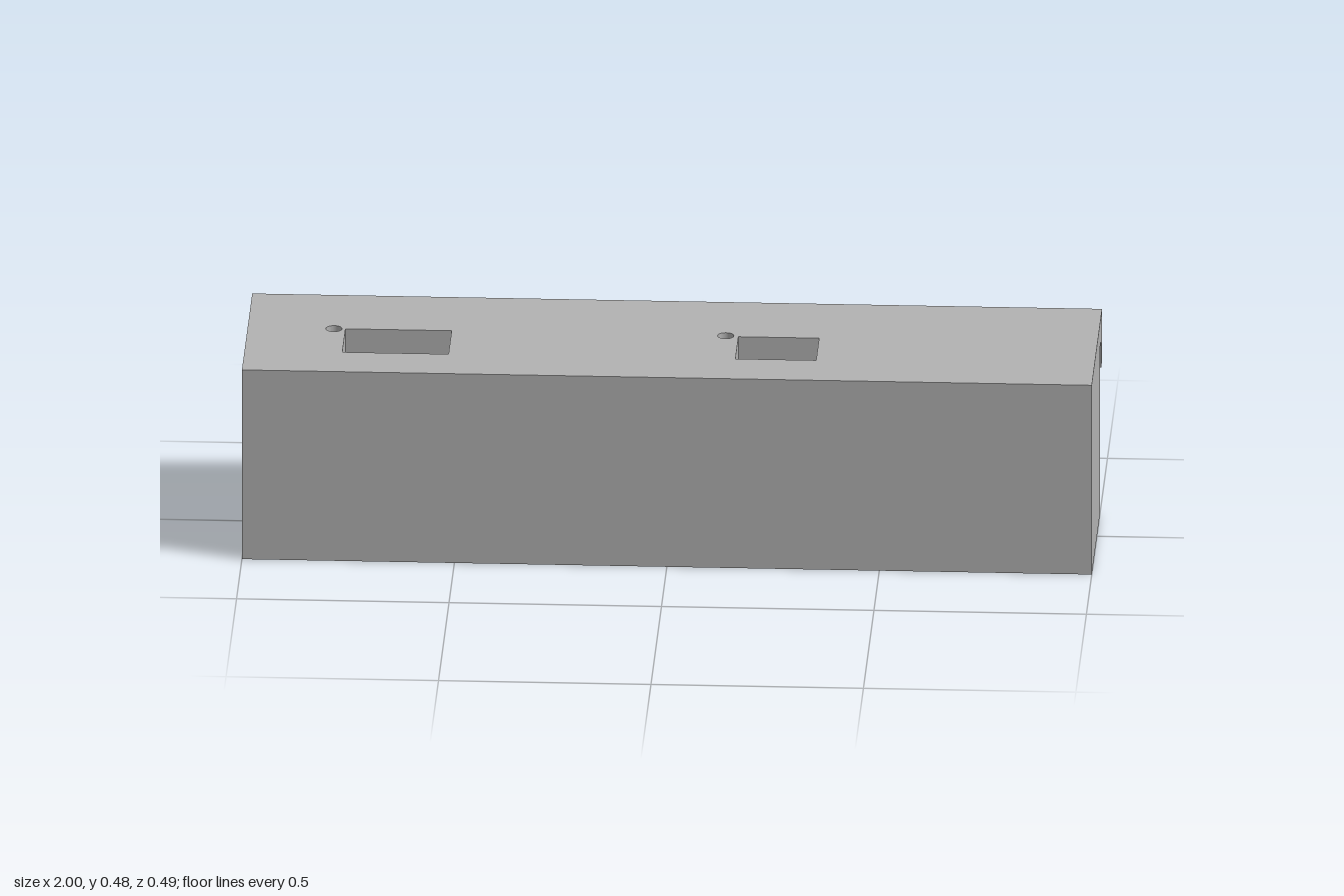
import * as THREE from 'three';

const TOP = 0.478, PLATE = 0.06, DIMPLE = 0.03;
const FRONT = 0.245, BACK = -0.245, END_BACK = -0.135;
const WALL = 0.047;

// Closed rectangle in the x/z plane
function rect(Type, x0, x1, z0, z1) {
  const r = new Type();
  r.moveTo(x0, z0);
  r.lineTo(x1, z0);
  r.lineTo(x1, z1);
  r.lineTo(x0, z1);
  r.closePath();
  return r;
}

export function createModel() {
  const group = new THREE.Group();
  const grey = new THREE.MeshStandardMaterial({ color: 0xb2b2b2 });
  grey.name = 'plain grey';

  const add = (name, geometry) => {
    const mesh = new THREE.Mesh(geometry, grey);
    mesh.name = name;
    group.add(mesh);
    return mesh;
  };
  // Box given by its limits on each axis
  const box = (name, x0, x1, y0, y1, z0, z1) =>
    add(name, new THREE.BoxGeometry(x1 - x0, y1 - y0, z1 - z0))
      .position.set((x0 + x1) / 2, (y0 + y1) / 2, (z0 + z1) / 2);

  // Top plate in two layers: windows go through both, round dimples only the upper
  const layer = (name, yTop, depth, dimples) => {
    const shape = rect(THREE.Shape, -1, 1, BACK, FRONT);
    shape.holes.push(rect(THREE.Path, -0.77, -0.52, -0.03, 0.12));
    shape.holes.push(rect(THREE.Path, 0.155, 0.345, -0.025, 0.117));
    for (const x of dimples) {
      const hole = new THREE.Path();
      hole.absarc(x, -0.03, 0.019, 0, Math.PI * 2, true);
      shape.holes.push(hole);
    }
    const geometry = new THREE.ExtrudeGeometry(shape, { depth, bevelEnabled: false, curveSegments: 24 });
    geometry.rotateX(Math.PI / 2);
    add(name, geometry).position.y = yTop;
  };
  layer('topPlateUpper', TOP, DIMPLE, [-0.797, 0.125]);
  layer('topPlateLower', TOP - DIMPLE, PLATE - DIMPLE, []);

  // Walls and hooked back lip under the plate
  const under = TOP - PLATE;
  box('frontWall', -1, 1, 0, under, FRONT - WALL, FRONT);
  box('leftEndWall', 1 - WALL, 1, 0, under, END_BACK, FRONT - WALL);
  box('rightEndWall', -1, -1 + WALL, 0, under, END_BACK, FRONT - WALL);
  box('backLip', -1, 1, 0.346, under, BACK, -0.204);

  // Support bars reaching back from the front wall, beside the larger window
  for (const x of [-0.48, -0.765]) {
    box('supportBar', x - 0.034, x, 0.278, 0.308, -0.065, FRONT - WALL);
  }
  return group;
}
